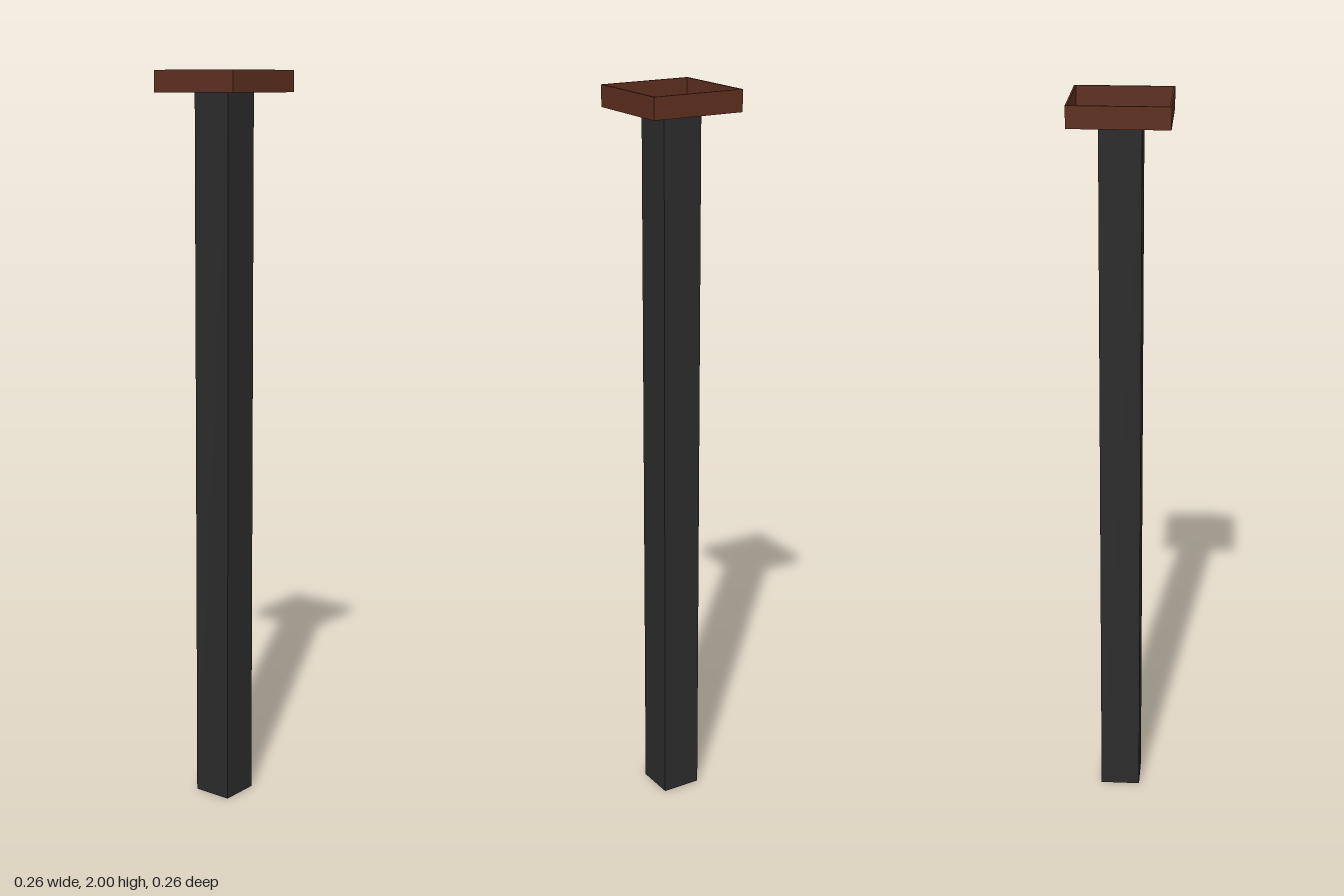
import * as THREE from 'three';

const POST = 0.11, TRAY = 0.26, TRAY_H = 0.057, WALL = 0.005;

function squarePath(PathType, size) {
  const h = size / 2;
  return new PathType([[-h, -h], [h, -h], [h, h], [-h, h]].map(([x, y]) => new THREE.Vector2(x, y)));
}

export function createModel() {
  const group = new THREE.Group();
  const dark = new THREE.MeshStandardMaterial({ color: 0x2b2b2b });
  const brown = new THREE.MeshStandardMaterial({ color: 0x5e2e1f });
  const trayY = 2 - TRAY_H;

  // Square post standing on the ground
  const post = new THREE.Mesh(new THREE.BoxGeometry(POST, trayY, POST), dark);
  post.name = 'post';
  post.position.y = trayY / 2;

  // Shallow open tray: thin floor with a rim around it
  const tray = new THREE.Group();
  tray.name = 'tray';
  tray.position.y = trayY;

  const inner = TRAY - 2 * WALL;
  const floor = new THREE.Mesh(new THREE.BoxGeometry(inner, WALL, inner), brown);
  floor.name = 'trayFloor';
  floor.position.y = WALL / 2;

  const outline = squarePath(THREE.Shape, TRAY);
  outline.holes.push(squarePath(THREE.Path, inner));
  const rimGeometry = new THREE.ExtrudeGeometry(outline, { depth: TRAY_H, bevelEnabled: false });
  rimGeometry.rotateX(-Math.PI / 2);
  const rim = new THREE.Mesh(rimGeometry, brown);
  rim.name = 'trayRim';

  tray.add(floor, rim);
  group.add(post, tray);
  return group;
}
